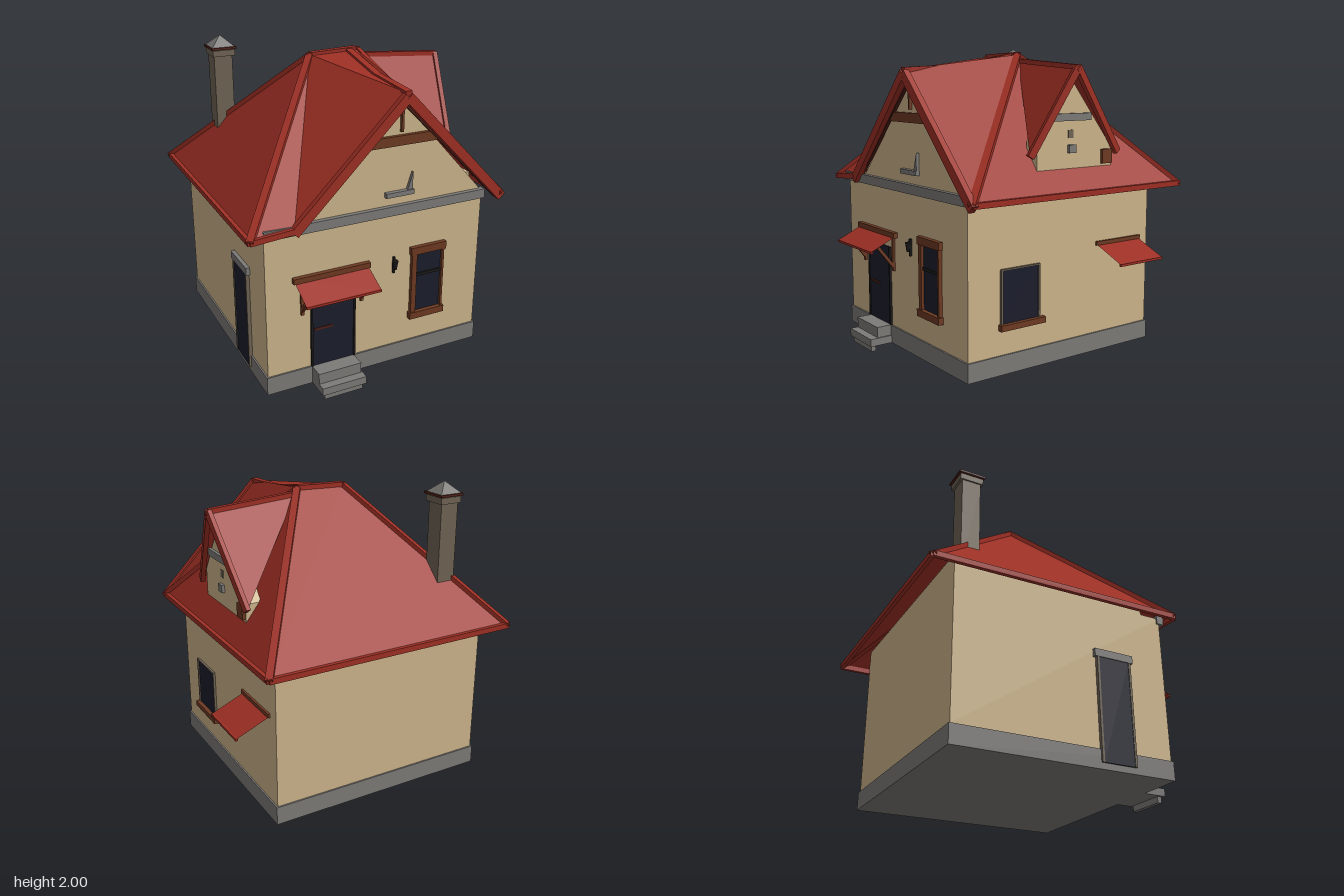
import * as THREE from 'three';

export function createModel() {
  const model = new THREE.Group();
  model.name = 'cottage';

  const mat = (name, color, opts = {}) => {
    const m = new THREE.MeshStandardMaterial({ color, ...opts });
    m.name = name;
    return m;
  };
  const red = mat('roof red', 0x9e2f24, { side: THREE.DoubleSide, flatShading: true });
  const tan = mat('plaster tan', 0xcdb58b);
  const grey = mat('stone grey', 0x7d7b78);
  const brown = mat('wood brown', 0x6e3a22);
  const navy = mat('dark glass', 0x1b1d2c);
  const soot = mat('chimney stone', 0x6f6454);
  const rust = mat('dark rust', 0x4f2017);
  const iron = mat('black iron', 0x1c1a19);

  const add = (name, geo, material, parent = model) => {
    const m = new THREE.Mesh(geo, material);
    m.name = name;
    parent.add(m);
    return m;
  };
  // box given by its limits on each axis
  const box = (name, material, x0, x1, y0, y1, z0, z1) => {
    const m = add(name, new THREE.BoxGeometry(x1 - x0, y1 - y0, z1 - z0), material);
    m.position.set((x0 + x1) / 2, (y0 + y1) / 2, (z0 + z1) / 2);
    return m;
  };
  // bar running between two points
  const bar = (name, material, a, b, w = 0.03, h = 0.03) => {
    const p = new THREE.Vector3(...a), q = new THREE.Vector3(...b);
    const m = add(name, new THREE.BoxGeometry(w, h, p.distanceTo(q)), material);
    m.position.copy(p).lerp(q, 0.5);
    m.lookAt(q);
    return m;
  };
  // sheet made of triangles
  const sheet = (name, material, tris) => {
    const g = new THREE.BufferGeometry();
    g.setAttribute('position', new THREE.Float32BufferAttribute(tris.flat(2), 3));
    g.computeVertexNormals();
    return add(name, g, material);
  };
  const slab = (points, depth) => new THREE.ExtrudeGeometry(
    new THREE.Shape(points.map(([x, y]) => new THREE.Vector2(x, y))),
    { depth, bevelEnabled: false });

  // base and walls
  box('foundation', grey, -0.82, 0.69, 0.04, 0.16, -0.73, 0.73);
  box('walls', tan, -0.81, 0.68, 0.16, 1.12, -0.72, 0.72);
  box('upperWalls', tan, -0.81, 0.68, 1.12, 1.2, -0.72, 0.58);
  box('frontCornice', grey, -0.82, 0.685, 1.08, 1.14, 0.7, 0.75);
  box('sideCornice', grey, 0.66, 0.69, 1.075, 1.1, -0.72, 0.73);

  // main roof corners and ridge ends
  const RL = [-0.17, 1.93, -0.03], RR = [0.16, 1.94, -0.03], J = [0.1, 1.935, -0.03];
  const FL = [-0.91, 1.1, 0.77], FR = [0.8, 1.1, 0.77];
  const BL = [-0.9, 1.1, -0.89], BR = [0.8, 1.1, -0.89];
  const G = [0.08, 1.84, 0.78], M = [0.085, 1.86, 0.4], K = [-0.64, 1.12, 0.77];
  sheet('leftAndRightSlopes', red, [[RL, BL, FL], [RR, FR, BR]]);
  sheet('backSlope', red, [[RL, RR, BR], [RL, BR, BL]]);
  sheet('frontGableRoof', red, [
    [RL, FL, K], [RL, K, G], [RL, G, M], [RL, M, J],
    [J, M, RR], [M, G, RR], [RR, G, FR]]);
  for (const [a, b] of [[RL, RR], [RL, FL], [RL, BL], [RR, FR], [RR, BR], [J, M], [M, G]])
    bar('ridgeCap', red, a, b, 0.045, 0.03);
  for (const [a, b] of [[FL, BL], [BL, BR], [BR, FR], [FL, K]])
    bar('eaveBoard', red, a, b, 0.025, 0.035);
  for (const b of [K, FR]) {
    const low = (p, dz) => [p[0], p[1] - 0.02, p[2] + dz];
    bar('gableRake', red, low(G, -0.01), low(b, -0.01), 0.04, 0.06);
    bar('gableUnderBoard', rust, [G[0], G[1] - 0.06, 0.74], [b[0] * 0.97, b[1] - 0.02, 0.74], 0.02, 0.03);
  }

  // front gable wall and its trim
  add('frontGableWall', slab([[-0.59, 1.12], [0.68, 1.12], [0.08, 1.78]], 0.04), tan).position.z = 0.68;
  box('gableBeam', brown, -0.18, 0.32, 1.52, 1.58, 0.71, 0.745);
  box('gablePost', brown, 0.065, 0.08, 1.6, 1.75, 0.72, 0.74);
  box('gableShelf', grey, -0.03, 0.16, 1.2, 1.23, 0.71, 0.75);
  add('shelfBrace', slab([[0.12, 1.23], [0.155, 1.23], [0.155, 1.34]], 0.02), grey).position.z = 0.72;

  // side dormer
  const D0 = [0.17, 1.9, -0.025], D1 = [0.76, 1.855, -0.02];
  const E1 = [0.7, 1.33, 0.29], E2 = [0.7, 1.33, -0.41];
  sheet('dormerRoof', red, [[D0, E1, D1], [D0, D1, E2]]);
  bar('dormerRidge', red, D0, D1, 0.035, 0.03);
  for (const e of [E1, E2]) bar('dormerRake', red, D1, e, 0.03, 0.045);
  const dormer = add('dormerWall',
    slab([[-0.23, 1.22], [0.37, 1.22], [0.37, 1.36], [0.02, 1.8], [-0.23, 1.42]], 0.1), tan);
  dormer.rotation.y = Math.PI / 2;
  dormer.position.x = 0.59;
  box('dormerBeam', grey, 0.67, 0.71, 1.535, 1.58, -0.18, 0.14);
  box('dormerBlock', grey, 0.68, 0.71, 1.34, 1.39, -0.06, -0.005);
  box('dormerPatch', soot, 0.685, 0.693, 1.43, 1.48, -0.05, -0.01);
  box('dormerVent', brown, 0.68, 0.71, 1.26, 1.35, -0.36, -0.28);

  // chimney
  box('chimneyShaft', soot, -0.655, -0.53, 1.2, 1.88, -0.615, -0.49);
  box('chimneyCollar', soot, -0.665, -0.515, 1.87, 1.91, -0.63, -0.475);
  box('chimneyRim', rust, -0.675, -0.505, 1.915, 1.93, -0.64, -0.465);
  const cap = add('chimneyCap', new THREE.ConeGeometry(0.108, 0.07, 4, 1).toNonIndexed(), grey);
  cap.geometry.computeVertexNormals();
  cap.rotation.y = Math.PI / 4;
  cap.position.set(-0.59, 1.965, -0.553);

  // front door, steps and awning
  box('frontDoor', navy, -0.515, -0.23, 0.16, 0.69, 0.718, 0.727);
  box('doorRail', rust, -0.5, -0.38, 0.41, 0.425, 0.726, 0.732);
  for (const x of [-0.525, -0.235]) box('doorJamb', iron, x, x + 0.012, 0.16, 0.69, 0.71, 0.735);
  box('upperStep', grey, -0.52, -0.23, 0.09, 0.16, 0.7, 0.83);
  box('lowerStep', grey, -0.52, -0.22, 0.04, 0.09, 0.7, 0.885);
  box('stepFoot', grey, -0.5, -0.24, 0, 0.04, 0.84, 0.87);
  sheet('frontAwning', red, [
    [[-0.63, 0.78, 0.72], [-0.63, 0.69, 0.91], [-0.14, 0.69, 0.91]],
    [[-0.63, 0.78, 0.72], [-0.14, 0.69, 0.91], [-0.14, 0.78, 0.72]]]);
  box('awningEdge', red, -0.63, -0.14, 0.68, 0.695, 0.895, 0.91);
  box('awningHead', brown, -0.64, -0.13, 0.765, 0.8, 0.71, 0.75);
  for (const x of [-0.58, -0.18]) {
    bar('awningBracket', brown, [x, 0.57, 0.73], [x, 0.71, 0.84], 0.02, 0.02);
    box('bracketPost', brown, x - 0.01, x + 0.01, 0.54, 0.76, 0.715, 0.735);
  }

  // front window
  box('frontWindowGlass', navy, 0.19, 0.4, 0.36, 0.79, 0.718, 0.727);
  box('windowLintel', brown, 0.16, 0.415, 0.78, 0.83, 0.71, 0.75);
  box('windowSill', brown, 0.16, 0.415, 0.325, 0.37, 0.71, 0.755);
  box('windowJamb', brown, 0.17, 0.205, 0.37, 0.78, 0.71, 0.745);
  box('windowJamb', brown, 0.39, 0.405, 0.37, 0.78, 0.71, 0.745);
  box('windowRail', iron, 0.205, 0.39, 0.62, 0.64, 0.72, 0.735);

  // left side window and awning
  box('sideWindowGlass', navy, 0.678, 0.687, 0.35, 0.68, 0.21, 0.48);
  box('sideWindowSill', brown, 0.67, 0.715, 0.315, 0.352, 0.17, 0.505);
  box('sideWindowHead', soot, 0.67, 0.695, 0.675, 0.685, 0.2, 0.49);
  for (const z of [0.2, 0.48]) box('sideWindowJamb', soot, 0.67, 0.695, 0.35, 0.68, z, z + 0.012);
  sheet('sideAwning', red, [
    [[0.68, 0.74, -0.27], [0.905, 0.645, -0.27], [0.905, 0.645, -0.64]],
    [[0.68, 0.74, -0.27], [0.905, 0.645, -0.64], [0.68, 0.74, -0.64]]]);
  box('sideAwningEdge', red, 0.89, 0.905, 0.635, 0.65, -0.64, -0.27);
  box('sideAwningHead', brown, 0.675, 0.695, 0.735, 0.76, -0.645, -0.26);

  // right side door
  box('sideDoor', navy, -0.829, -0.805, 0.08, 0.74, 0.23, 0.44);
  box('sideDoorLintel', grey, -0.835, -0.8, 0.74, 0.79, 0.2, 0.47);
  for (const z of [0.215, 0.44]) box('sideDoorJamb', soot, -0.833, -0.8, 0.08, 0.74, z, z + 0.015);

  // wall lantern
  const lamp = add('lantern', new THREE.CylinderGeometry(0.02, 0.01, 0.06, 6), iron);
  lamp.position.set(0.045, 0.74, 0.745);
  box('lanternStem', iron, 0.038, 0.052, 0.68, 0.79, 0.718, 0.735);

  return model;
}
